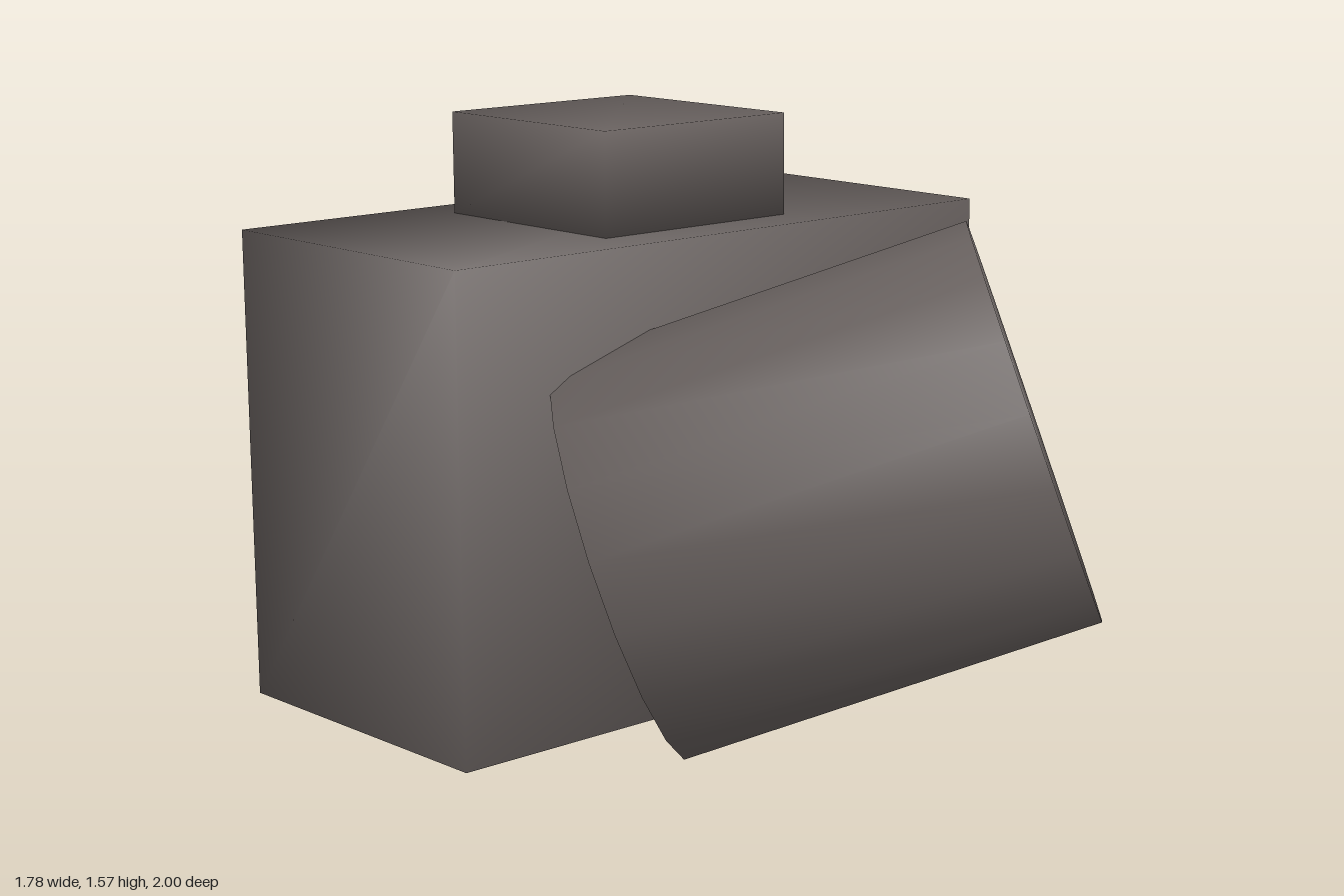
import * as THREE from 'three';
import { mergeVertices } from 'three/addons/utils/BufferGeometryUtils.js';

// Weld shared corners so the normals blend across every edge
function softened(geometry) {
  geometry.deleteAttribute('normal');
  geometry.deleteAttribute('uv');
  const welded = mergeVertices(geometry, 1e-4);
  welded.computeVertexNormals();
  return welded;
}

export function createModel() {
  const model = new THREE.Group();
  model.name = 'camera';

  const casing = new THREE.MeshStandardMaterial({ color: 0x665f5d });
  casing.name = 'warm dark grey';

  function add(name, geometry, x, y, z) {
    const mesh = new THREE.Mesh(softened(geometry), casing);
    mesh.name = name;
    mesh.position.set(x, y, z);
    model.add(mesh);
    return mesh;
  }

  // Main casing and the raised block on top
  add('body', new THREE.BoxGeometry(1.78, 1.24, 0.89), 0, 0.685, -0.555);
  add('viewfinder', new THREE.BoxGeometry(0.62, 0.27, 0.62), 0, 1.44, -0.555);

  // Thick lens barrel, turned to the left and tilted up
  const start = THREE.MathUtils.degToRad(15);
  const barrel = new THREE.CylinderGeometry(0.53, 0.53, 1.09, 18, 1, false, start);
  const lens = add('lens', barrel, 0, 0.685, 0.24);
  const side = new THREE.Vector3(1, 0, -1).normalize();
  const axis = new THREE.Vector3(2, 1, 2).normalize();
  const under = new THREE.Vector3().crossVectors(side, axis);
  lens.quaternion.setFromRotationMatrix(new THREE.Matrix4().makeBasis(side, axis, under));

  return model;
}
